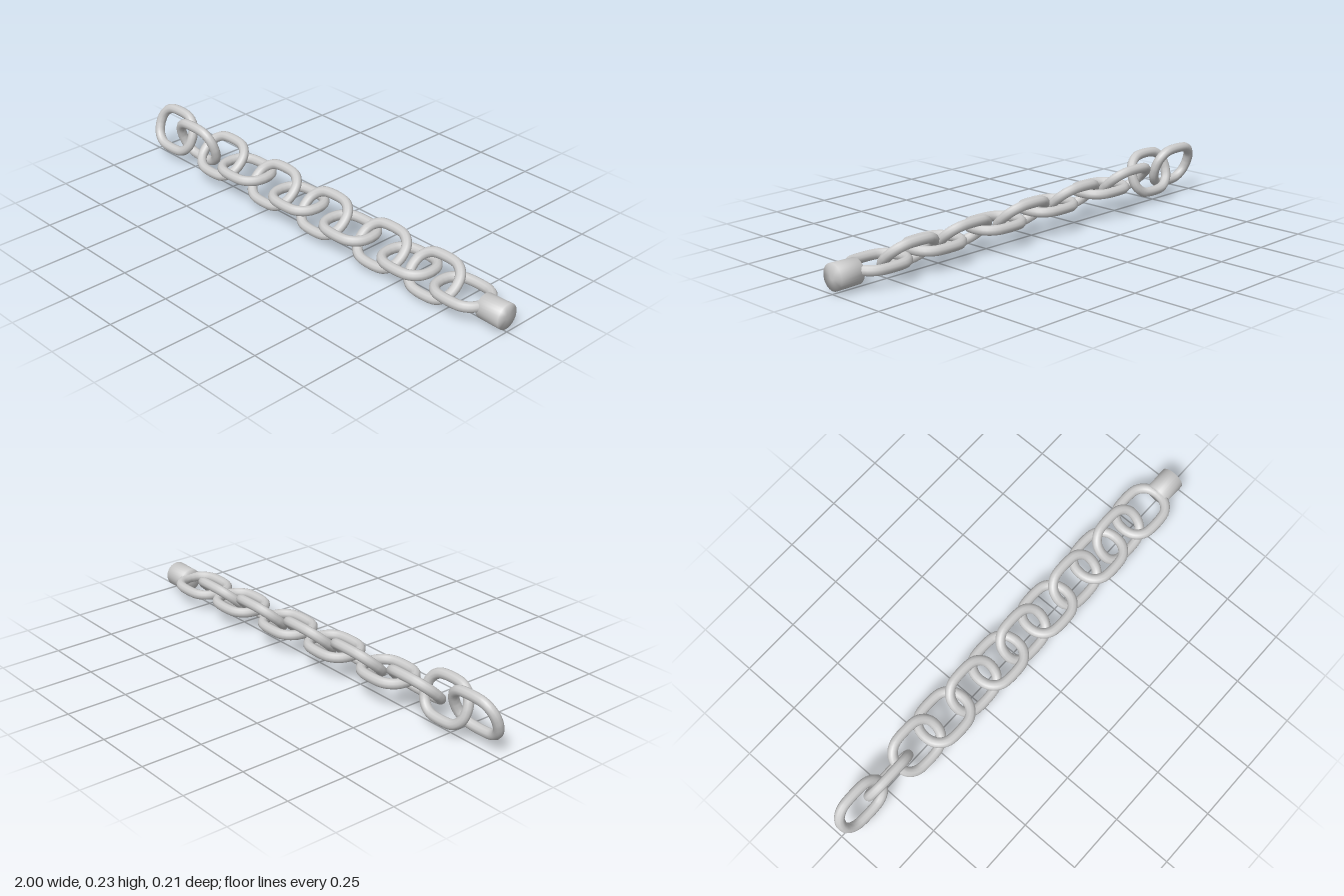
import * as THREE from 'three';

const steel = new THREE.MeshStandardMaterial({ color: 0xcccccc });
steel.name = 'light steel grey';

// Centre line of one link: a rounded rectangle in the xy plane
function linkPath() {
  const halfLength = 0.108, halfWidth = 0.082, r = 0.075, steps = 4;
  const points = [];
  [[1, 1], [-1, 1], [-1, -1], [1, -1]].forEach(([sx, sy], corner) => {
    for (let i = 0; i <= steps; i++) {
      const a = (corner + i / steps) * Math.PI / 2;
      points.push(new THREE.Vector3(
        sx * (halfLength - r) + r * Math.cos(a),
        sy * (halfWidth - r) + r * Math.sin(a), 0));
    }
  });
  return new THREE.CatmullRomCurve3(points, true, 'centripetal');
}

export function createModel() {
  const group = new THREE.Group();
  group.name = 'chain';

  // Links: [centre x, turn about the chain's axis in degrees]
  const links = [
    [-0.872, -20], [-0.722, 17], [-0.562, -47], [-0.407, 90],
    [-0.237, -47], [-0.092, 90], [0.057, -47], [0.203, 90],
    [0.374, -47], [0.519, 90], [0.646, -47], [0.788, 90],
  ];
  const linkGeometry = new THREE.TubeGeometry(linkPath(), 48, 0.0205, 10, true);
  links.forEach(([x, turn], i) => {
    const link = new THREE.Mesh(linkGeometry, steel);
    link.name = `link${i + 1}`;
    // The chain sinks slightly towards its capped end
    link.position.set(x, 0.1345 - 0.0055 * i, 0);
    link.rotation.x = THREE.MathUtils.degToRad(turn);
    group.add(link);
  });

  // End cap: a short, softly shaded plug lying along x
  const profile = [[0, 0], [0.01, 0], [0.05, 0], [0.052, 0.104], [0.01, 0.108], [0, 0.108]]
    .map(([r, h]) => new THREE.Vector2(r, h));
  const cap = new THREE.Mesh(new THREE.LatheGeometry(profile, 32), steel);
  cap.name = 'endCap';
  cap.rotation.z = -Math.PI / 2;
  cap.position.set(0.892, 0.065, 0);
  group.add(cap);

  return group;
}
